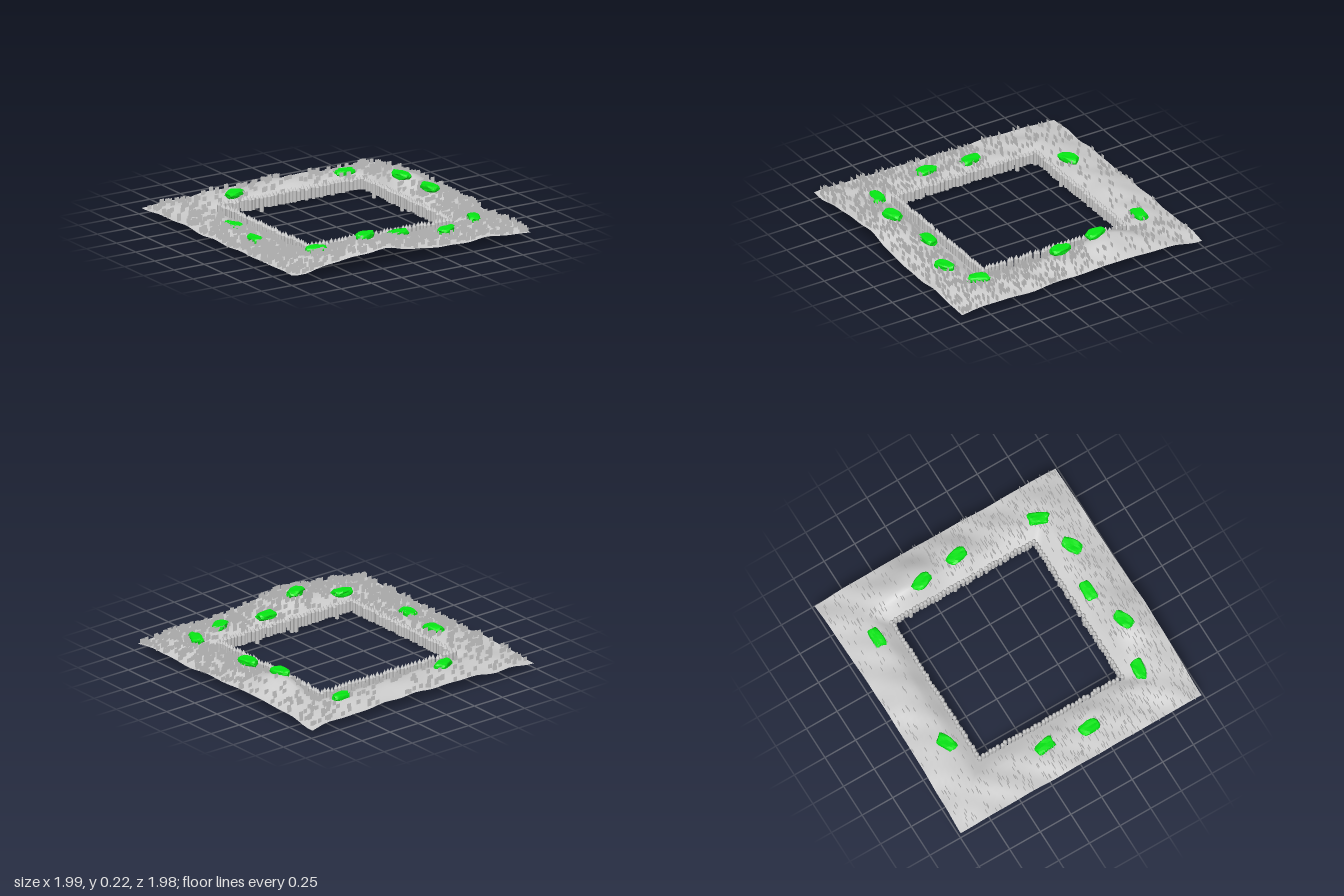
import * as THREE from 'three';
import { mergeGeometries, mergeVertices } from 'three/addons/utils/BufferGeometryUtils.js';

const grey = new THREE.MeshStandardMaterial({ color: 0xcccccc });
const greyThin = new THREE.MeshStandardMaterial({ color: 0xcccccc, side: THREE.DoubleSide });
const green = new THREE.MeshStandardMaterial({ color: 0x06e814 });

function seeded(seed) {
  return () => {
    seed = (seed * 16807) % 2147483647;
    return seed / 2147483647;
  };
}

// Hills: x, z, height, spread in x, spread in z
const hills = [
  [-0.24, 0.88, 0.075, 0.25, 0.24],
  [-0.58, 0.9, 0.025, 0.22, 0.2],
  [0.76, -0.32, 0.095, 0.2, 0.2],
  [0.8, 0.05, 0.045, 0.16, 0.13],
  [0.7, 0.72, 0.02, 0.14, 0.14],
  [0.1, -0.82, 0.025, 0.4, 0.18],
  [0.8, -0.6, 0.02, 0.2, 0.15],
];

// Ground height: low along the inner edge, a bank mid-strip, falling to the rim
function groundHeight(x, z) {
  const { smoothstep } = THREE.MathUtils;
  const d = Math.max(Math.abs(x), Math.abs(z));
  const corner = Math.min(Math.abs(x), Math.abs(z));
  let y = 0.054 - 0.022 * smoothstep(d, 0.78, 1) - 0.018 * smoothstep(corner, 0.75, 1);
  y += 0.007 * Math.sin(13 * x + 3 * z) * Math.cos(11 * z - 2 * x) + 0.004 * Math.sin(23 * x + 19 * z);
  if (x < -0.5) y -= 0.014 * smoothstep(-x, 0.5, 0.75) * (1 - smoothstep(z, 0.4, 0.8));
  for (const [hx, hz, h, sx, sz] of hills) {
    y += h * Math.exp(-(((x - hx) / sx) ** 2) - ((z - hz) / sz) ** 2);
  }
  return 0.045 + smoothstep(d, 0.56, 0.72) * y;
}

// Square ring of ground, swept around as loops from inner to outer edge
function groundGeometry() {
  const perSide = 36, rings = 10, count = perSide * 4;
  const pos = [], index = [];
  const corners = [[-1, -1], [1, -1], [1, 1], [-1, 1]];
  for (let r = 0; r <= rings; r++) {
    const t = r / rings;
    for (let i = 0; i < count; i++) {
      const side = Math.floor(i / perSide), f = (i % perSide) / perSide;
      const a = corners[side], b = corners[(side + 1) % 4];
      const u = a[0] + (b[0] - a[0]) * f, v = a[1] + (b[1] - a[1]) * f;
      // The back rim bows in and the front rim bows out a little
      const bow = t * (v < 0 ? 0.018 : 0.008) * Math.cos(u * Math.PI / 2) * Math.abs(v);
      const x = u * THREE.MathUtils.lerp(0.595, 0.985, t);
      const z = v * THREE.MathUtils.lerp(v < 0 ? 0.605 : 0.58, v < 0 ? 0.99 : 0.977, t) + bow;
      pos.push(x, groundHeight(x, z), z);
    }
  }
  for (let r = 0; r < rings; r++) {
    for (let i = 0; i < count; i++) {
      const j = (i + 1) % count, a = r * count, b = a + count;
      index.push(a + i, a + j, b + i, a + j, b + j, b + i);
    }
  }
  const g = new THREE.BufferGeometry();
  g.setAttribute('position', new THREE.Float32BufferAttribute(pos, 3));
  g.setIndex(index);
  g.computeVertexNormals();
  return g;
}

// One stake: six-sided post with a pointed top
function stakeGeometry(height) {
  const r = 0.0155, tip = 0.03;
  const post = new THREE.CylinderGeometry(r, r, height - tip, 6);
  post.translate(0, (height - tip) / 2, 0);
  const point = new THREE.ConeGeometry(r, tip, 6, 1, true);
  point.translate(0, height - tip / 2, 0);
  return mergeGeometries([post, point]);
}

function palisadeSide(x0, z0, x1, z1, rand) {
  const stakes = [], n = 38;
  for (let i = 0; i < n; i++) {
    const t = i / n;
    const base = rand() < 0.1 ? 0.004 : 0.026 + rand() * 0.01;
    const g = stakeGeometry(0.128 + rand() * 0.014 - base);
    g.rotateY(rand() * 3);
    g.translate(
      x0 + (x1 - x0) * t + (rand() - 0.5) * 0.01,
      base,
      z0 + (z1 - z0) * t + (rand() - 0.5) * 0.01
    );
    stakes.push(g);
  }
  return mergeGeometries(stakes);
}

// Share of tufts kept at a place: thin on the back strip and two bare slopes
function tuftDensity(x, z) {
  if (z < -0.58) return Math.abs(x) > 0.6 ? 0.45 : 0.3;
  if (x > 0.58 && z < -0.15) return 0.3;
  if (x < -0.58 && z < -0.2) return 0.6;
  return 1;
}

// Upright grass cards, all facing front
function tuftGeometry(rand) {
  const cards = [];
  for (let i = 0; i < 3000; i++) {
    const x = (rand() * 2 - 1) * 0.98, z = (rand() * 2 - 1) * 0.97;
    const keep = rand();
    if (Math.max(Math.abs(x), Math.abs(z)) < 0.64 || keep > tuftDensity(x, z)) continue;
    const g = new THREE.PlaneGeometry(0.034, 0.034);
    g.translate(x, groundHeight(x, z) + 0.015, z);
    cards.push(g);
  }
  return mergeGeometries(cards);
}

// Flat, blocky boulder with faceted sides
function boulderGeometry(rand) {
  let g = new THREE.IcosahedronGeometry(1, 2);
  g.deleteAttribute('normal');
  g.deleteAttribute('uv');
  g = mergeVertices(g, 1e-3);
  const p = g.attributes.position, phase = rand() * 6;
  const boxy = (value, limit) => THREE.MathUtils.clamp(value * 1.25, -limit, limit);
  for (let i = 0; i < p.count; i++) {
    const x = p.getX(i), y = p.getY(i), z = p.getZ(i);
    const lump = 1 + 0.12 * Math.sin(3 * x + phase) * Math.cos(4 * z + phase) + (rand() - 0.5) * 0.12;
    p.setXYZ(i,
      boxy(x, 1) * lump * 0.072,
      boxy(y, 0.85) * lump * 0.026,
      boxy(z, 0.95) * lump * (1 + 0.12 * x) * 0.044);
  }
  g = g.toNonIndexed();
  g.computeVertexNormals();
  return g;
}

// Boulders: x, z, centre height, turn
const boulders = [
  [-0.38, -0.74, 0.118, 0.4], [0.54, -0.75, 0.12, 0],
  [0.71, -0.28, 0.195, 1.9], [0.75, 0.03, 0.18, 1.75],
  [0.71, 0.67, 0.13, 1.15], [0.42, 0.77, 0.115, 0.5],
  [0.07, 0.69, 0.128, 0], [-0.26, 0.78, 0.19, 0.35],
  [-0.61, 0.69, 0.125, -0.15], [-0.79, 0.18, 0.092, 1.6],
  [-0.75, -0.16, 0.098, 1.75],
];

export function createModel() {
  const model = new THREE.Group();
  const rand = seeded(4217);
  const add = (name, geometry, material, parent = model) => {
    const mesh = new THREE.Mesh(geometry, material);
    mesh.name = name;
    parent.add(mesh);
    return mesh;
  };

  add('ground', groundGeometry().scale(1, 1, 1), greyThin).geometry.setIndex(
    [...groundGeometry().index.array].reverse()
  );

  // Palisade around the opening
  const palisade = new THREE.Group();
  palisade.name = 'palisade';
  model.add(palisade);
  const l = -0.588, r = 0.592, b = -0.596, f = 0.566;
  add('backStakes', palisadeSide(l, b, r, b, rand), grey, palisade);
  add('leftStakes', palisadeSide(r, b, r, f, rand), grey, palisade);
  add('frontStakes', palisadeSide(r, f, l, f, rand), grey, palisade);
  add('rightStakes', palisadeSide(l, f, l, b, rand), grey, palisade);

  add('grassTufts', tuftGeometry(rand), greyThin);

  for (const [x, z, y, turn] of boulders) {
    const boulder = add('boulder', boulderGeometry(rand), green);
    boulder.position.set(x, y, z);
    boulder.rotation.y = turn;
  }
  return model;
}
